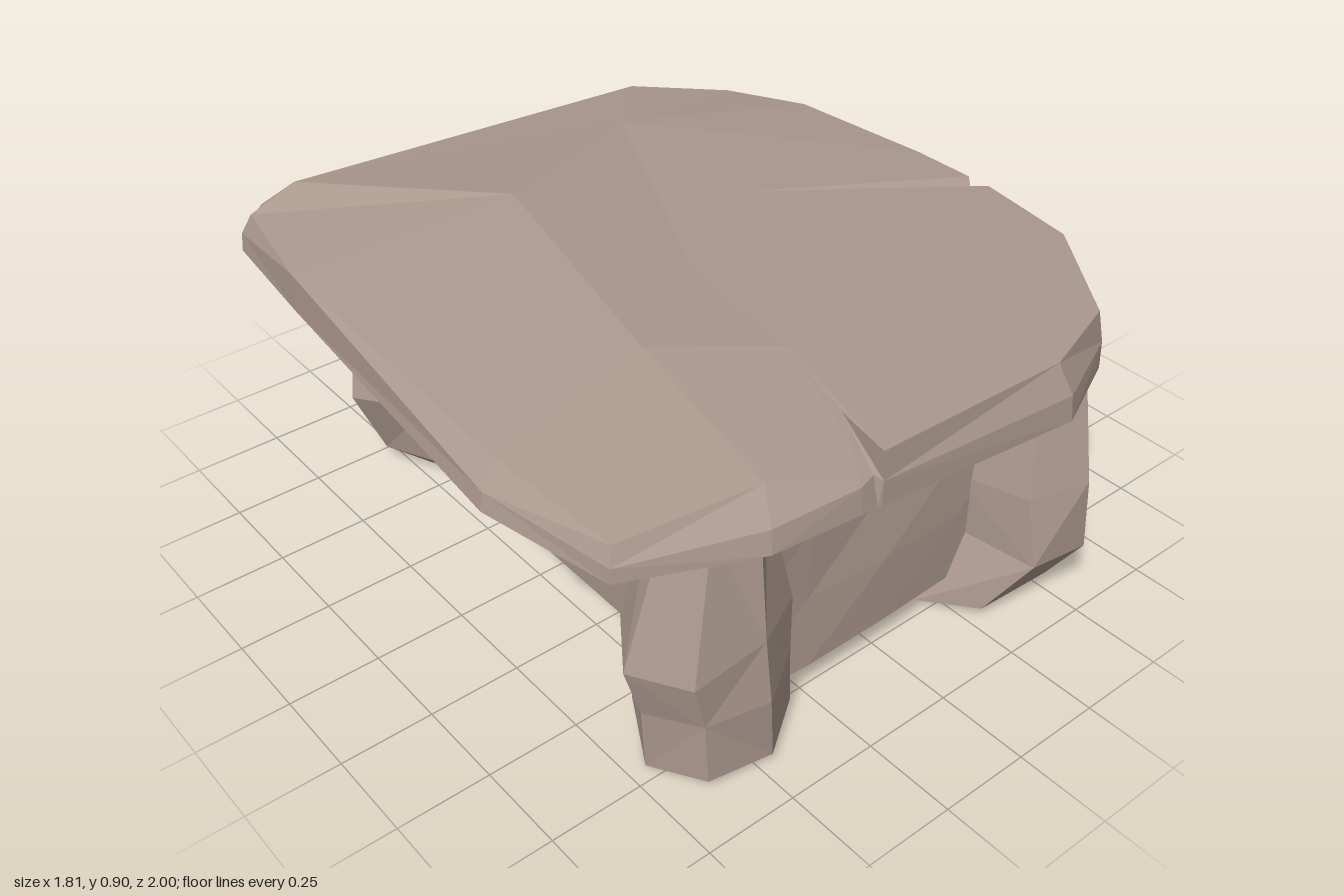
import * as THREE from 'three';

const stone = new THREE.MeshStandardMaterial({ color: 0xab988d, flatShading: true, side: THREE.DoubleSide });

// Small repeatable noise in -1..1
function noise(seed) {
  const s = Math.sin(seed * 127.1 + 11.7) * 43758.5453;
  return (s - Math.floor(s)) * 2 - 1;
}

function mesh(name, geometry) {
  const m = new THREE.Mesh(geometry, stone);
  m.name = name;
  return m;
}

// Skins equal-length rings from bottom to top; repeated points collapse their faces
function loft(rings) {
  const pos = [];
  const same = (p, q) => p.every((v, i) => Math.abs(v - q[i]) < 1e-5);
  const tri = (a, b, c) => {
    if (!same(a, b) && !same(b, c) && !same(c, a)) pos.push(...a, ...b, ...c);
  };
  for (let j = 0; j < rings.length - 1; j++) {
    const n = rings[j].length;
    for (let i = 0; i < n; i++) {
      const k = (i + 1) % n;
      const a = rings[j][i], b = rings[j][k], c = rings[j + 1][k], d = rings[j + 1][i];
      if ((i + j) % 2) { tri(a, b, c); tri(a, c, d); } else { tri(a, b, d); tri(b, c, d); }
    }
  }
  const g = new THREE.BufferGeometry();
  g.setAttribute('position', new THREE.Float32BufferAttribute(pos, 3));
  g.computeVertexNormals();
  return g;
}

// Faceted rock from levels [y, xMin, xMax, zMin, zMax]
function rock(levels, sides, rough, seed) {
  const rings = levels.map(([y, x0, x1, z0, z1], j) => Array.from({ length: sides }, (_, i) => {
    const a = ((i + 0.5) / sides) * Math.PI * 2;
    const r = (1 + rough * noise(seed + i * 3.3 + j * 7.9)) / Math.cos(Math.PI / sides);
    return [
      (x0 + x1) / 2 + ((x1 - x0) / 2) * Math.cos(a) * r,
      Math.max(0, y + (j > 0 && j < levels.length - 1 ? rough * 0.5 * noise(seed + i + j * 5.1) : 0)),
      (z0 + z1) / 2 - ((z1 - z0) / 2) * Math.sin(a) * r,
    ];
  }));
  const cap = ([y, x0, x1, z0, z1]) => Array(sides).fill([(x0 + x1) / 2, y, (z0 + z1) / 2]);
  return loft([cap(levels[0]), ...rings, cap(levels[levels.length - 1])]);
}

// Slab top: uneven rim with a chip in front and a crack on the left side
function makeSlab() {
  const F = [-0.12, 0.84, 0.52], H = [0.3, 0.845, -0.1], B = [0.3, 0.845, -0.65];
  const P = [-0.25, 0.9, -0.4], L = [-0.4, 0.86, 0.33];
  // x, z, top height, bottom height, top inset, nearest inner point
  const rim = [
    [-0.84, 0.78, 0.77, 0.685, 0.03, L],
    [-0.52, 0.92, 0.81, 0.68, 0.09, F],
    [-0.28, 0.945, 0.83, 0.68, 0.07, F],
    [-0.235, 0.945, 0.832, 0.68, 0.17, F],
    [-0.225, 0.95, 0.83, 0.68, 0.01, F],
    [0.35, 1.0, 0.825, 0.67, 0.05, F],
    [0.6, 0.88, 0.82, 0.65, 0.02, H],
    [0.82, 0.57, 0.82, 0.66, 0.01, H],
    [0.86, 0.26, 0.82, 0.69, 0, H],
    [0.86, 0.23, 0.77, 0.69, 0.02, H],
    [0.87, 0.19, 0.82, 0.69, 0.01, H],
    [0.9, 0, 0.82, 0.69, 0.04, H],
    [0.88, -0.48, 0.805, 0.69, 0.04, B],
    [0.81, -0.76, 0.79, 0.69, 0.08, B],
    [0.52, -0.89, 0.815, 0.69, 0.02, B],
    [-0.7, -1.0, 0.86, 0.69, 0.13, P],
    [-0.79, -0.92, 0.81, 0.69, 0.04, P],
    [-0.83, -0.55, 0.81, 0.69, 0, P],
    [-0.91, 0.41, 0.785, 0.68, 0.07, L],
  ];
  const ring = (inset, height) => rim.map(([x, z, top, low, ins]) => {
    const k = 1 - inset(ins) / Math.hypot(x, z);
    return [x * k, low + (top - low) * height, z * k];
  });
  return loft([
    rim.map(() => [0, 0.69, 0]),
    ring(() => 0.08, 0),
    ring(() => 0, 0.05),
    ring((i) => i * 0.15, 0.5),
    ring((i) => i, 1),
    rim.map((p) => p[5]),
    rim.map(() => [-0.06, 0.84, 0.1]),
  ]);
}

// Thin wall with a slightly uneven face
function makeWall(w, d, x, z, seed) {
  const g = new THREE.BoxGeometry(w, 0.62, d, w > d ? 4 : 1, 3, d > w ? 4 : 1);
  const p = g.attributes.position;
  for (let i = 0; i < p.count; i++) {
    const s = Math.round((p.getX(i) + 2 * p.getY(i) + 3 * p.getZ(i)) * 100) / 37 + seed;
    if (w > d) p.setZ(i, p.getZ(i) + 0.012 * noise(s));
    else p.setX(i, p.getX(i) + 0.012 * noise(s));
  }
  g.translate(x, 0.405, z);
  return g;
}

export function createModel() {
  const model = new THREE.Group();
  model.add(mesh('slabTop', makeSlab()));

  // Four boulder legs
  const legs = {
    frontRightLeg: [[0, -0.66, -0.4, 0.58, 0.82], [0.04, -0.68, -0.33, 0.55, 0.87], [0.2, -0.7, -0.35, 0.55, 0.88],
      [0.37, -0.74, -0.33, 0.55, 0.88], [0.72, -0.64, -0.4, 0.6, 0.84]],
    frontLeftLeg: [[0, 0.42, 0.65, 0.56, 0.82], [0.04, 0.2, 0.65, 0.53, 0.9], [0.2, 0.3, 0.65, 0.5, 0.98],
      [0.43, 0.29, 0.6, 0.5, 0.96], [0.72, 0.35, 0.61, 0.57, 0.89]],
    backLeftLeg: [[0, 0.45, 0.77, -0.8, -0.46], [0.05, 0.41, 0.79, -0.86, -0.45], [0.24, 0.4, 0.76, -0.85, -0.46],
      [0.4, 0.38, 0.75, -0.88, -0.48], [0.72, 0.43, 0.73, -0.75, -0.49]],
    backRightLeg: [[0, -0.47, -0.32, -0.82, -0.58], [0.05, -0.54, -0.16, -0.9, -0.48], [0.24, -0.6, -0.12, -0.91, -0.46],
      [0.4, -0.58, -0.13, -0.92, -0.48], [0.72, -0.48, -0.2, -0.78, -0.56]],
  };
  Object.entries(legs).forEach(([name, levels], i) => model.add(mesh(name, rock(levels, 7, 0.08, 10 + i * 20))));

  // Walls on three sides; the left side is open behind the arch
  model.add(mesh('frontWall', makeWall(1.0, 0.05, 0, 0.74, 1)));
  model.add(mesh('backWall', makeWall(0.96, 0.05, 0.04, -0.7, 2)));
  model.add(mesh('rightWall', makeWall(0.05, 1.36, -0.47, 0.01, 3)));

  // Arch of rough blocks around the opening
  const arch = new THREE.Group();
  arch.name = 'stoneArch';
  const addBlock = (x, y, z, turn, h, w, i) => {
    const g = rock([[0, -0.08, 0.08, -w, w], [h, -0.07, 0.07, -w * 1.2, w * 1.2]], 4, 0.1, i * 9);
    const block = mesh('archBlock', g);
    block.position.set(x, y, z);
    block.rotation.x = turn;
    arch.add(block);
  };
  for (let i = 0; i < 9; i++) {
    const a = ((i + 0.5) / 9) * Math.PI;
    const h = 0.13 + 0.015 * noise(i);
    addBlock(0.56, 0.33 + 0.21 * Math.sin(a), 0.02 + 0.24 * Math.cos(a), Math.PI / 2 - a, h, 0.042, i + 1);
  }
  for (const side of [-1, 1]) {
    addBlock(0.55, 0.21, 0.02 + side * 0.31, 0, 0.14, 0.06, 20 + side);
    addBlock(0.53, 0.08, 0.02 + side * 0.35, 0, 0.15, 0.07, 30 + side);
  }
  model.add(arch);

  // Boulder plugging the opening
  model.add(mesh('doorBoulder', rock([
    [0.06, 0.58, 0.76, -0.22, 0.2], [0.1, 0.54, 0.85, -0.26, 0.3], [0.18, 0.53, 0.87, -0.28, 0.35],
    [0.38, 0.53, 0.82, -0.25, 0.27], [0.52, 0.56, 0.74, -0.15, 0.19], [0.64, 0.59, 0.68, -0.03, 0.07],
  ], 9, 0.05, 77)));
  return model;
}
